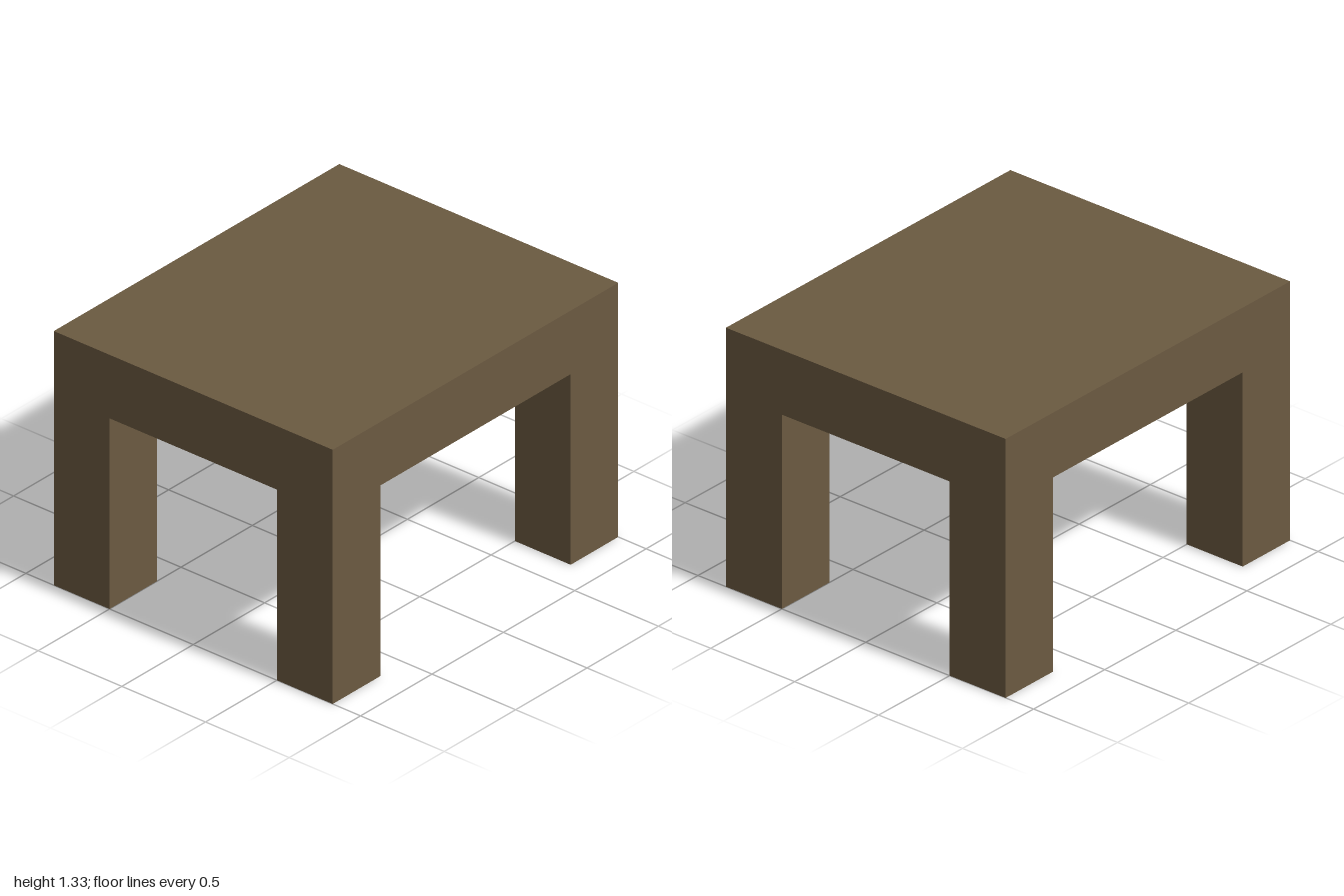
import * as THREE from 'three';

const WIDTH = 2, DEPTH = 1.6667, LEG = 0.3333, LEG_HEIGHT = 1, SLAB = 0.3333;

export function createModel() {
  const model = new THREE.Group();
  model.name = 'table';
  const wood = new THREE.MeshStandardMaterial({ color: 0x6b5a41 });
  wood.name = 'brown wood';

  // Thick table top
  const top = new THREE.Mesh(new THREE.BoxGeometry(WIDTH, SLAB, DEPTH), wood);
  top.name = 'tableTop';
  top.position.y = LEG_HEIGHT + SLAB / 2;
  model.add(top);

  // Four square legs, flush with the corners
  const legGeometry = new THREE.BoxGeometry(LEG, LEG_HEIGHT, LEG);
  for (const [xName, x] of [['Left', 1], ['Right', -1]]) {
    for (const [zName, z] of [['front', 1], ['back', -1]]) {
      const leg = new THREE.Mesh(legGeometry, wood);
      leg.name = `${zName}${xName}Leg`;
      leg.position.set(x * (WIDTH - LEG) / 2, LEG_HEIGHT / 2, z * (DEPTH - LEG) / 2);
      model.add(leg);
    }
  }
  return model;
}
